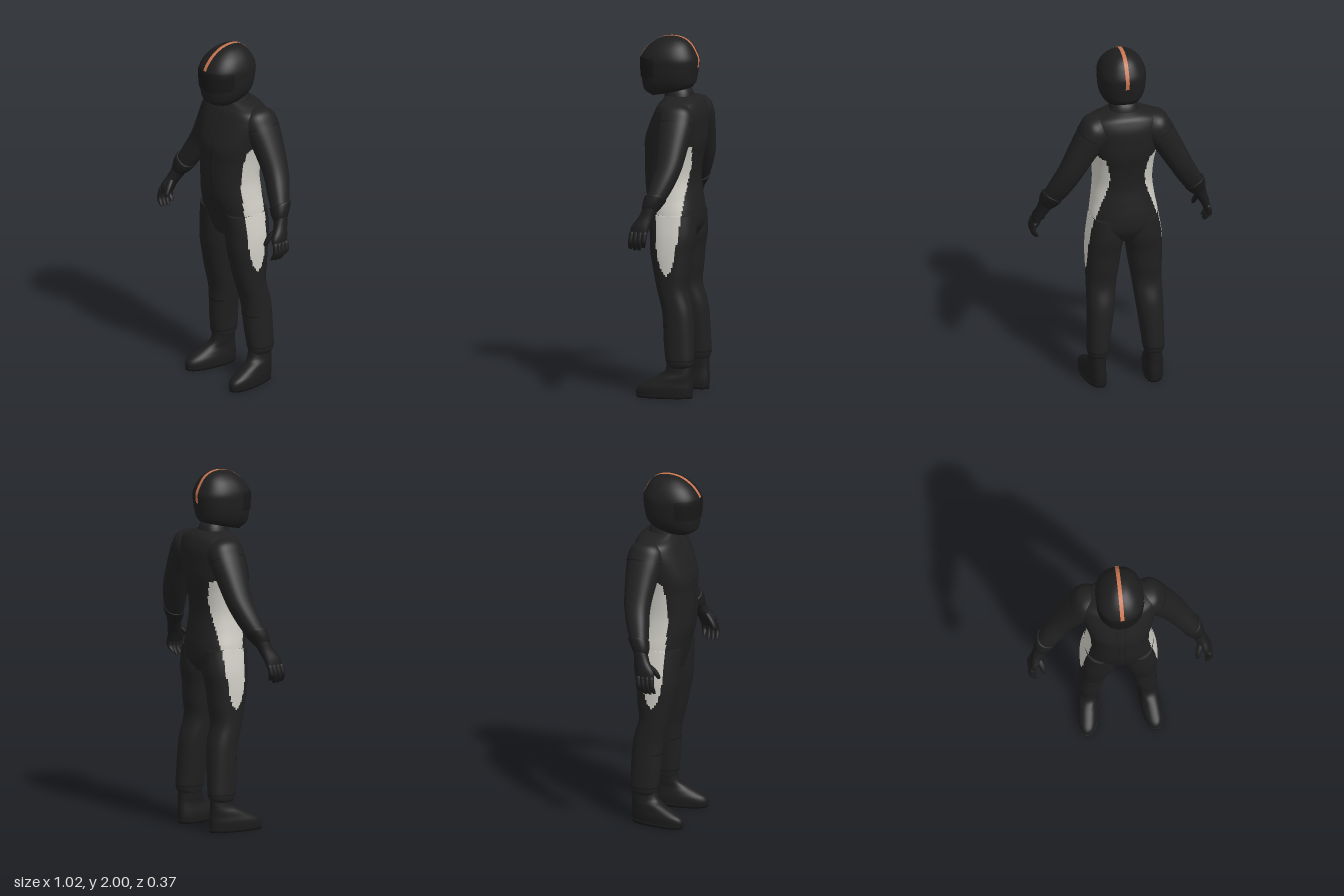
import * as THREE from 'three';

const mat = (name, color, side = THREE.FrontSide) => {
  const m = new THREE.MeshStandardMaterial({ color, side });
  m.name = name;
  return m;
};

// Cross-section rows, bottom to top: [x, y, z, halfWidth, halfDepth, tilt, slant, toeOut]
const HELMET = [
  [0, 1.69, 0.01, 0.085, 0.11, 0, -0.23], [0, 1.715, 0.022, 0.107, 0.142, 0, -0.18],
  [0, 1.76, 0.025, 0.125, 0.153, 0, -0.13], [0, 1.83, 0.0245, 0.132, 0.161, 0, -0.05],
  [0, 1.88, 0.0235, 0.131, 0.16], [0, 1.93, 0.019, 0.11, 0.132], [0, 1.965, 0.012, 0.08, 0.098],
  [0, 1.988, 0.008, 0.046, 0.055], [0, 1.997, 0.005, 0.006, 0.006]];
const TORSO = [
  [0, 0.88, -0.02, 0.13, 0.1], [0, 0.95, -0.03, 0.192, 0.13], [0, 1.03, -0.022, 0.19, 0.143],
  [0, 1.12, -0.005, 0.175, 0.15], [0, 1.22, 0.005, 0.165, 0.15], [0, 1.33, -0.002, 0.172, 0.157],
  [0, 1.42, -0.012, 0.188, 0.167], [0, 1.5, -0.026, 0.203, 0.156], [0, 1.57, -0.04, 0.212, 0.14],
  [0, 1.62, -0.045, 0.2, 0.12], [0, 1.648, -0.048, 0.15, 0.1], [0, 1.67, -0.035, 0.085, 0.078]];
const LEG = [
  [0.155, 0.17, -0.08, 0.048, 0.062], [0.157, 0.2, -0.083, 0.058, 0.077], [0.15, 0.3, -0.076, 0.065, 0.084],
  [0.137, 0.47, -0.065, 0.076, 0.085], [0.128, 0.6, -0.033, 0.083, 0.086], [0.121, 0.7, -0.027, 0.092, 0.102],
  [0.115, 0.8, -0.022, 0.1, 0.116], [0.106, 0.9, -0.027, 0.104, 0.128], [0.103, 1.02, -0.022, 0.088, 0.13]];
const ARM = [
  [0.41, 1.13, -0.012, 0.05, 0.048, 0.53], [0.365, 1.21, -0.04, 0.06, 0.062, 0.52],
  [0.31, 1.31, -0.065, 0.066, 0.072, 0.46], [0.245, 1.43, -0.07, 0.075, 0.086, 0.44],
  [0.185, 1.53, -0.068, 0.084, 0.1, 0.47], [0.15, 1.585, -0.065, 0.082, 0.095, 0.65],
  [0.1, 1.61, -0.06, 0.05, 0.06, 0.9]];
const BOOT = [
  [0.17, 0.012, 0.002, 0.054, 0.153, 0, 0, 0.12], [0.17, 0.035, 0.002, 0.057, 0.156, 0, 0, 0.12],
  [0.17, 0.06, -0.006, 0.057, 0.149, 0, 0, 0.12], [0.168, 0.085, -0.027, 0.053, 0.127, 0, 0, 0.12],
  [0.165, 0.115, -0.055, 0.049, 0.097, 0, 0, 0.1], [0.157, 0.15, -0.076, 0.046, 0.075],
  [0.153, 0.24, -0.08, 0.044, 0.068]];
const SOLE = [[0.17, 0, 0.002, 0.056, 0.154, 0, 0, 0.12], [0.17, 0.018, 0.003, 0.058, 0.157, 0, 0, 0.12]];
const COLLAR = [[0, 1.64, -0.03, 0.088, 0.082, 0, -0.25], [0, 1.675, -0.025, 0.08, 0.077, 0, -0.25],
  [0, 1.705, -0.015, 0.07, 0.068, 0, -0.2]];
const CUFF = [[0.434, 1.09, 0.004, 0.04, 0.04, 0.53], [0.42, 1.118, -0.006, 0.053, 0.051, 0.53],
  [0.402, 1.153, -0.02, 0.061, 0.059, 0.53], [0.399, 1.158, -0.022, 0.055, 0.053, 0.53]];
const PALM = [[0.485, 0.955, 0.05, 0.018, 0.046, 0.3], [0.472, 1.0, 0.045, 0.026, 0.052, 0.4],
  [0.45, 1.05, 0.02, 0.032, 0.042, 0.45], [0.43, 1.1, 0, 0.042, 0.04, 0.5]];
const THUMB = [[0.424, 0.953, 0.106, 0.008, 0.008], [0.428, 0.972, 0.1, 0.014, 0.014],
  [0.437, 1.01, 0.075, 0.017, 0.017], [0.455, 1.05, 0.035, 0.016, 0.016]];

// Side panel outline: [height, front z, back z]
const PANEL = [[0.68, -0.02, -0.02], [0.72, 0.01, -0.05], [0.8, 0.035, -0.07], [0.9, 0.045, -0.085],
  [1.0, 0.046, -0.095], [1.1, 0.052, -0.103], [1.2, 0.058, -0.115], [1.3, 0.052, -0.132],
  [1.4, 0.035, -0.142], [1.45, -0.05, -0.06]];

function inPanel(p) {
  const i = PANEL.findIndex((r) => r[0] > p.y);
  if (i < 1) return false;
  const a = PANEL[i - 1], b = PANEL[i], t = (p.y - a[0]) / (b[0] - a[0]);
  return p.z < a[1] + (b[1] - a[1]) * t && p.z > a[2] + (b[2] - a[2]) * t;
}

// Point on a smooth skin through the rows; v runs along the rows, a is the angle
function skin(rows, v, a, off = 0, power = 2.3) {
  const n = rows.length - 1, f = Math.min(v * n, n - 1e-6), i = Math.floor(f), t = f - i;
  const at = (k, c) => rows[Math.max(0, Math.min(n, k))][c] || 0;
  const g = [0, 1, 2, 3, 4, 5, 6, 7].map((c) => {
    const p0 = at(i - 1, c), p1 = at(i, c), p2 = at(i + 1, c), p3 = at(i + 2, c);
    return p1 + 0.5 * t * (p2 - p0 + t * (2 * p0 - 5 * p1 + 4 * p2 - p3 + t * (3 * (p1 - p2) + p3 - p0)));
  });
  const bend = (w) => Math.sign(w) * Math.pow(Math.abs(w), 2 / power);
  const w = (g[3] + off) * bend(Math.cos(a)), d = (g[4] + off) * bend(Math.sin(a));
  return new THREE.Vector3(g[0] + w * Math.cos(g[5]) + g[7] * d, g[1] + w * Math.sin(g[5]) + g[6] * d, g[2] + d);
}

// Grid surface from fn(u, v); side -1 mirrors it; pick(point, u) sends faces to the second material
function surface(fn, nu, nv, { closed = false, side = 1, pick = null } = {}) {
  const pos = [], sets = [[], []], cols = closed ? nu : nu + 1, pts = [];
  for (let j = 0; j <= nv; j++) for (let i = 0; i < cols; i++) pts.push(fn(i / nu, j / nv));
  const tri = (a, b, c, k = 0) => sets[k].push(...(side > 0 ? [a, b, c] : [a, c, b]));
  for (let j = 0; j < nv; j++) for (let i = 0; i < nu; i++) {
    const a = j * cols + i, b = j * cols + (i + 1) % cols, c = a + cols, d = b + cols;
    const mid = pts[a].clone().add(pts[d]).multiplyScalar(0.5);
    const k = pick && pick(mid, (i + 0.5) / nu) ? 1 : 0;
    tri(a, c, b, k);
    tri(b, c, d, k);
  }
  if (closed) for (const end of [0, nv]) { // end caps
    const o = end * cols, centre = new THREE.Vector3();
    for (let i = 0; i < cols; i++) centre.addScaledVector(pts[o + i], 1 / cols);
    const m = pts.push(centre) - 1;
    for (let i = 0; i < cols; i++) {
      const e = o + (i + 1) % cols;
      if (end) tri(m, e, o + i); else tri(m, o + i, e);
    }
  }
  pts.forEach((p) => pos.push(p.x * side, p.y, p.z));
  const geo = new THREE.BufferGeometry();
  geo.setAttribute('position', new THREE.Float32BufferAttribute(pos, 3));
  geo.setIndex([...sets[0], ...sets[1]]);
  if (pick) {
    geo.addGroup(0, sets[0].length, 0);
    geo.addGroup(sets[0].length, sets[1].length, 1);
  }
  geo.computeVertexNormals();
  return geo;
}

export function createModel() {
  const model = new THREE.Group();
  model.name = 'racingDriver';
  const suit = mat('suit black', 0x202020), shell = mat('helmet black', 0x1e1e1e);
  const visorMat = mat('visor dark', 0x181818), trim = mat('trim dark', 0x171717, THREE.DoubleSide);
  const leather = mat('leather black', 0x1c1c1c), grey = mat('panel grey', 0xceccc4);
  const orange = mat('stripe orange', 0xc8744f, THREE.DoubleSide);
  const add = (name, geo, m) => {
    const mesh = new THREE.Mesh(geo, m);
    mesh.name = name;
    model.add(mesh);
  };
  const TAU = Math.PI * 2;
  const loft = (rows, nu, nv, opt = {}) => surface((u, v) => skin(rows, v, u * TAU), nu, nv, { closed: true, ...opt });
  // Thin plate lying on a skin, between two angles and two heights
  const plate = (rows, a0, a1, v0, v1, off, nu, nv, side = 1) =>
    surface((u, v) => skin(rows, v0 + (v1 - v0) * v, a0 + (a1 - a0) * u, off), nu, nv, { side });

  // Helmet with visor, rim and centre stripe
  add('helmet', loft(HELMET, 48, 40), shell);
  add('visor', plate(HELMET, 0.3, Math.PI - 0.3, 0.29, 0.5, 0.004, 32, 8), visorMat);
  add('helmetRim', plate(HELMET, 0, TAU, 0, 0.04, 0.003, 48, 2), trim);
  add('helmetStripe', surface((u, v) => {
    const front = v < 0.5;
    const h = front ? 0.5 + v : 1 - (v - 0.5) * 1.32;
    const p = skin(HELMET, h, front ? Math.PI / 2 : -Math.PI / 2, 0.003);
    return p.set((u - 0.5) * 0.022, p.y + 0.002, p.z);
  }, 2, 48), orange);

  // Suit body with side panels
  add('collar', loft(COLLAR, 32, 6), suit);
  add('torso', loft(TORSO, 112, 110, { pick: (p) => Math.abs(p.x) > 0.09 && inPanel(p) }), [suit, grey]);
  add('zipFlap', plate(TORSO, 1.5, 1.64, 0.16, 0.9, 0.004, 4, 40), suit);
  for (const a of [1.49, 1.64]) add('zipSeam', plate(TORSO, a, a + 0.012, 0.16, 0.9, 0.003, 1, 40), trim);

  for (const side of [1, -1]) {
    const o = { side };
    // Leg, hem and knee seam
    const outer = (p, u) => Math.cos(u * TAU) > 0.1 && inPanel(p);
    add('leg', loft(LEG, 72, 96, { side, pick: outer }), [suit, grey]);
    add('legHem', plate(LEG, 0, TAU, 0.14, 0.15, 0.002, 32, 1, side), trim);
    add('kneeSeam', plate(LEG, 0.5, 2.6, 0.325, 0.33, 0.002, 16, 1, side), trim);

    // Boot
    add('boot', loft(BOOT, 36, 24, o), leather);
    add('bootSole', loft(SOLE, 36, 2, o), trim);

    // Sleeve and shoulder seam
    add('sleeve', loft(ARM, 36, 40, o), suit);
    add('shoulderSeam', plate(ARM, -1.6, 1.6, 0.66, 0.67, 0.002, 24, 1, side), trim);

    // Glove
    add('gloveCuff', loft(CUFF, 28, 10, o), leather);
    add('palm', loft(PALM, 24, 12, o), leather);
    add('thumb', loft(THUMB, 12, 9, o), leather);
    for (let k = 0; k < 4; k++) {
      const z = 0.088 - 0.025 * k, drop = k === 3 ? 0.015 : k === 0 ? 0.006 : 0;
      add('finger', loft([[0.472, 0.874 + drop, z + 0.012, 0.007, 0.007], [0.486, 0.893 + drop, z + 0.009, 0.013, 0.013],
        [0.498, 0.93, z + 0.004, 0.014, 0.014], [0.487, 0.98, z, 0.014, 0.014]], 12, 9, o), leather);
    }
  }
  return model;
}
